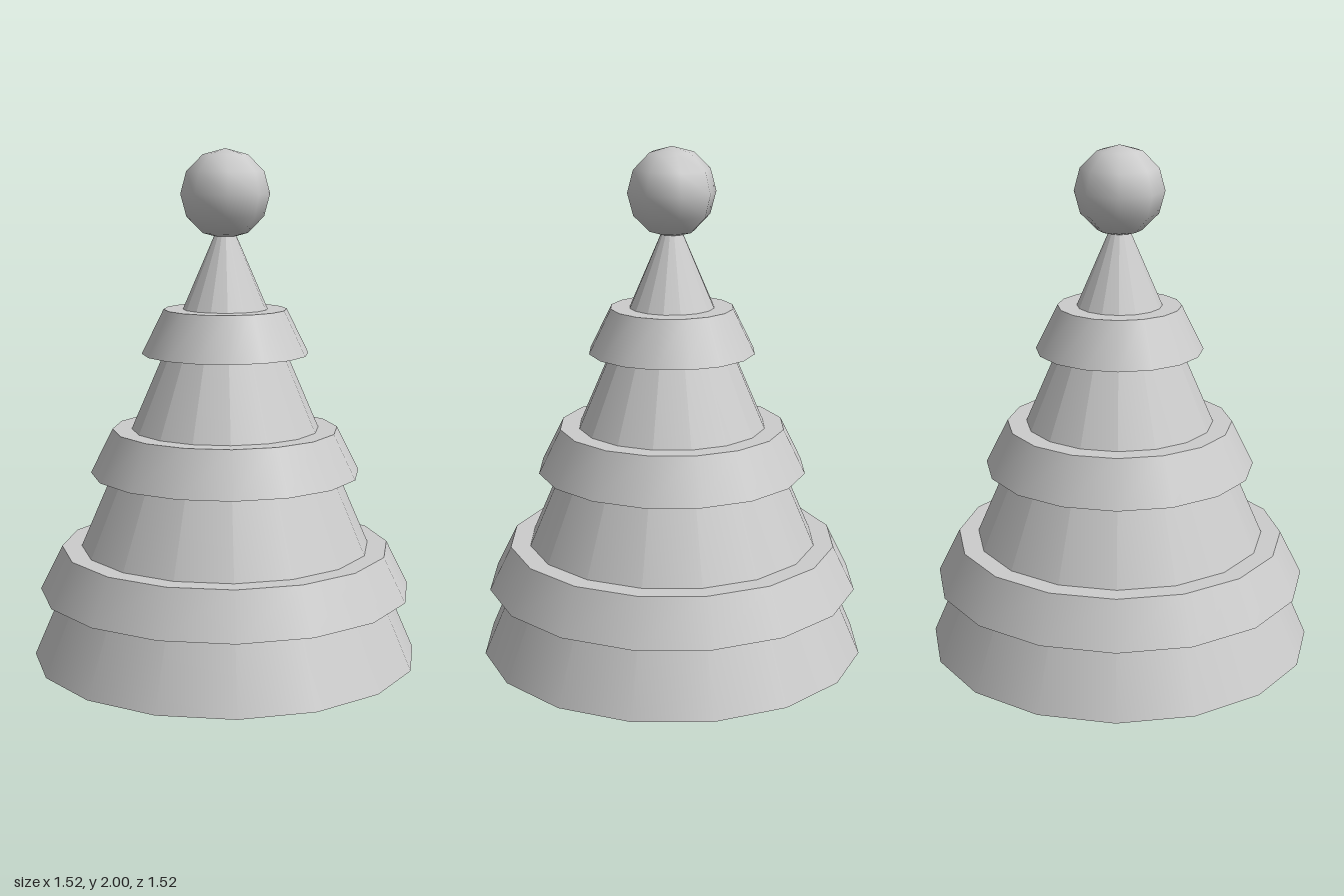
import * as THREE from 'three';

export function createModel() {
  const model = new THREE.Group();
  const material = new THREE.MeshStandardMaterial({ color: 0xcccccc });
  const SIDES = 16;

  const add = (name, geometry, y) => {
    const mesh = new THREE.Mesh(geometry, material);
    mesh.name = name;
    mesh.position.y = y;
    model.add(mesh);
  };

  // Tall cone, its tip hidden in the ball
  const coneHeight = 1.767;
  add('coneBody', new THREE.ConeGeometry(0.762, coneHeight, SIDES), coneHeight / 2);

  // Three flared bands: [name, bottom y, bottom radius, top radius]
  const bandHeight = 0.174;
  const bands = [
    ['lowerBand', 0.27, 0.735, 0.648],
    ['middleBand', 0.74, 0.53, 0.443],
    ['upperBand', 1.21, 0.326, 0.24],
  ];
  for (const [name, y, bottom, top] of bands) {
    add(name, new THREE.CylinderGeometry(top, bottom, bandHeight, SIDES), y + bandHeight / 2);
  }

  // Ball on top
  const ballRadius = 0.173;
  add('topBall', new THREE.SphereGeometry(ballRadius, 8, 6), 2 - ballRadius);

  return model;
}
